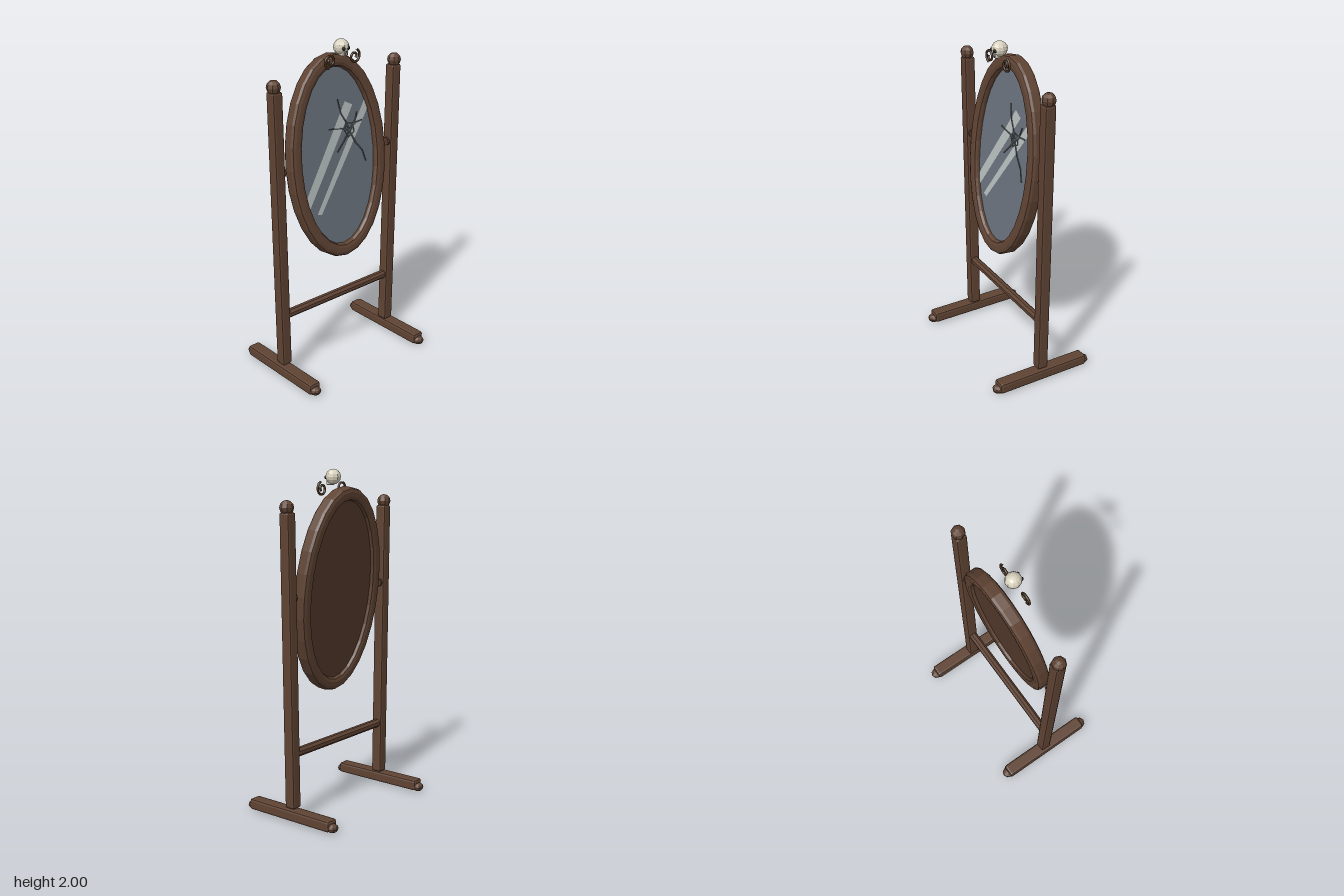
import * as THREE from 'three';
import { RoundedBoxGeometry } from 'three/addons/geometries/RoundedBoxGeometry.js';

const mat = (name, color, extra = {}) => {
  const m = new THREE.MeshStandardMaterial({ color, ...extra });
  m.name = name;
  return m;
};

export function createModel() {
  const wood = mat('wood', 0x5f4333);
  const darkWood = mat('dark wood', 0x543a2c);
  const scrollWood = mat('scroll wood', 0x46301f);
  const glassMat = mat('mirror glass', 0x6b737d);
  const shineMat = mat('glass shine', 0xb9c0c0);
  const crackMat = mat('glass crack', 0x565c60);
  const bone = mat('bone', 0xd8d0bd);
  const socketMat = mat('eye socket', 0x2b2825);

  const root = new THREE.Group();
  root.name = 'standingMirror';

  // Faceted normals for low-poly parts
  const flat = (g) => {
    const f = g.index ? g.toNonIndexed() : g;
    f.computeVertexNormals();
    return f;
  };
  const add = (parent, name, geo, material, x = 0, y = 0, z = 0) => {
    const m = new THREE.Mesh(geo, material);
    m.name = name;
    m.position.set(x, y, z);
    parent.add(m);
    return m;
  };
  const block = (w, h, d, r) => flat(new RoundedBoxGeometry(w, h, d, 1, r));
  const ball = (r, w = 8, h = 6) => flat(new THREE.SphereGeometry(r, w, h));

  // Stand: feet, leaning posts, finials and pivots
  for (const s of [1, -1]) {
    const side = s > 0 ? 'left' : 'right';
    add(root, side + 'Foot', block(0.08, 0.066, 0.6, 0.014), wood, s * 0.43, 0.04, 0);
    for (const e of [1, -1]) {
      const toe = add(root, side + 'FootToe', ball(0.036), wood, s * 0.43, 0.027, e * 0.298);
      toe.scale.y = 0.75;
    }
    const post = add(root, side + 'Post', block(0.066, 1.7, 0.068, 0.012), wood, s * 0.4325, 0.925, 0);
    post.rotation.z = -s * 0.0148;
    add(root, side + 'Finial', ball(0.041), wood, s * 0.45, 1.8, 0);
    const pivot = add(root, side + 'Pivot', flat(new THREE.CylinderGeometry(0.026, 0.026, 0.04, 8)),
      darkWood, s * 0.412, 1.3, 0);
    pivot.rotation.z = Math.PI / 2;
  }
  const bar = add(root, 'crossbar', flat(new THREE.CylinderGeometry(0.027, 0.027, 0.8, 8)), wood, 0, 0.398, 0);
  bar.rotation.set(0, Math.PI / 8, Math.PI / 2, 'ZYX');

  // Tilted oval mirror
  const mirror = new THREE.Group();
  mirror.name = 'mirror';
  mirror.position.y = 1.297;
  mirror.rotation.x = -0.105;
  root.add(mirror);

  const oval = (C, rx, ry) => new C().absellipse(0, 0, rx, ry, 0, Math.PI * 2, false);
  const frameShape = oval(THREE.Shape, 0.333, 0.583);
  frameShape.holes.push(oval(THREE.Path, 0.307, 0.557));
  const frameGeo = new THREE.ExtrudeGeometry(frameShape, {
    depth: 0.045, curveSegments: 14, bevelEnabled: true,
    bevelSize: 0.025, bevelThickness: 0.021, bevelSegments: 2,
  });
  add(mirror, 'frame', frameGeo, wood, 0, 0, -0.0225);

  const plate = new THREE.ShapeGeometry(oval(THREE.Shape, 0.295, 0.545), 24);
  add(mirror, 'glass', plate, glassMat, 0, 0, 0.008);
  add(mirror, 'backPanel', plate, darkWood, 0, 0, -0.02).rotation.y = Math.PI;

  // Diagonal shine on the glass
  const shines = [
    [[0.08, 0.315], [-0.262, -0.205], [-0.256, -0.29], [0.137, 0.285]],
    [[0.25, 0.325], [-0.185, -0.305], [-0.153, -0.315], [0.25, 0.24]],
  ];
  for (const pts of shines) {
    const shape = new THREE.Shape(pts.map(([x, y]) => new THREE.Vector2(x, y)));
    add(mirror, 'shine', new THREE.ShapeGeometry(shape), shineMat, 0, 0, 0.011);
  }

  // Cracks: thin strips running out from the impact point
  const cracks = [
    [[0.1, 0.14], [0.14, 0.06], [0.19, 0], [0.213, -0.07]],
    [[0.1, 0.14], [0.075, 0.2], [0.045, 0.25], [0.025, 0.335]],
    [[0.1, 0.14], [0.04, 0.16], [-0.05, 0.175]],
    [[0.1, 0.14], [0.15, 0.19], [0.165, 0.235]],
    [[0.1, 0.14], [0.15, 0.175], [0.2, 0.18]],
    [[0.1, 0.14], [0.06, 0.09], [0.0, 0.03]],
    [[0.06, 0.15], [0.085, 0.185], [0.13, 0.175], [0.135, 0.125], [0.09, 0.1], [0.06, 0.15]],
  ];
  for (const path of cracks) {
    for (let i = 0; i < path.length - 1; i++) {
      const [[ax, ay], [bx, by]] = [path[i], path[i + 1]];
      const len = Math.hypot(bx - ax, by - ay) + 0.004;
      const strip = add(mirror, 'crack', new THREE.BoxGeometry(len, 0.009 - 0.0015 * i, 0.004),
        crackMat, (ax + bx) / 2, (ay + by) / 2, 0.013);
      strip.rotation.z = Math.atan2(by - ay, bx - ax);
    }
  }

  // Crest: small skull between two scrolls
  const crest = new THREE.Group();
  crest.name = 'crest';
  crest.position.set(0, 1.955, 0.037);
  root.add(crest);
  add(crest, 'skull', ball(0.045, 10, 8), bone).scale.z = 1.05;
  add(crest, 'jaw', block(0.042, 0.026, 0.036, 0.006), bone, 0, -0.034, 0.02);
  for (const s of [1, -1]) {
    add(crest, 'eyeSocket', ball(0.011), socketMat, s * 0.017, -0.003, 0.039);
  }
  const nose = add(crest, 'noseHole', new THREE.ConeGeometry(0.006, 0.012, 3), socketMat, 0, -0.019, 0.041);
  nose.rotation.y = Math.PI;
  for (let i = -1; i <= 1; i++) {
    add(crest, 'toothGap', new THREE.BoxGeometry(0.002, 0.012, 0.003), socketMat, i * 0.009, -0.035, 0.038);
  }

  const spiral = [];
  for (let i = 0; i <= 16; i++) {
    const t = i / 16;
    const a = 1.3 - t * Math.PI * 2.7;
    const r = 0.042 - 0.03 * t;
    spiral.push(new THREE.Vector3(r * Math.cos(a), r * Math.sin(a), 0));
  }
  const scrollGeo = new THREE.TubeGeometry(new THREE.CatmullRomCurve3(spiral), 32, 0.007, 6);
  for (const s of [1, -1]) {
    const scroll = add(root, s > 0 ? 'leftScroll' : 'rightScroll', scrollGeo, scrollWood, s * 0.09, 1.888, 0.048);
    scroll.rotation.z = s > 0 ? 0 : Math.PI;
  }

  return root;
}
